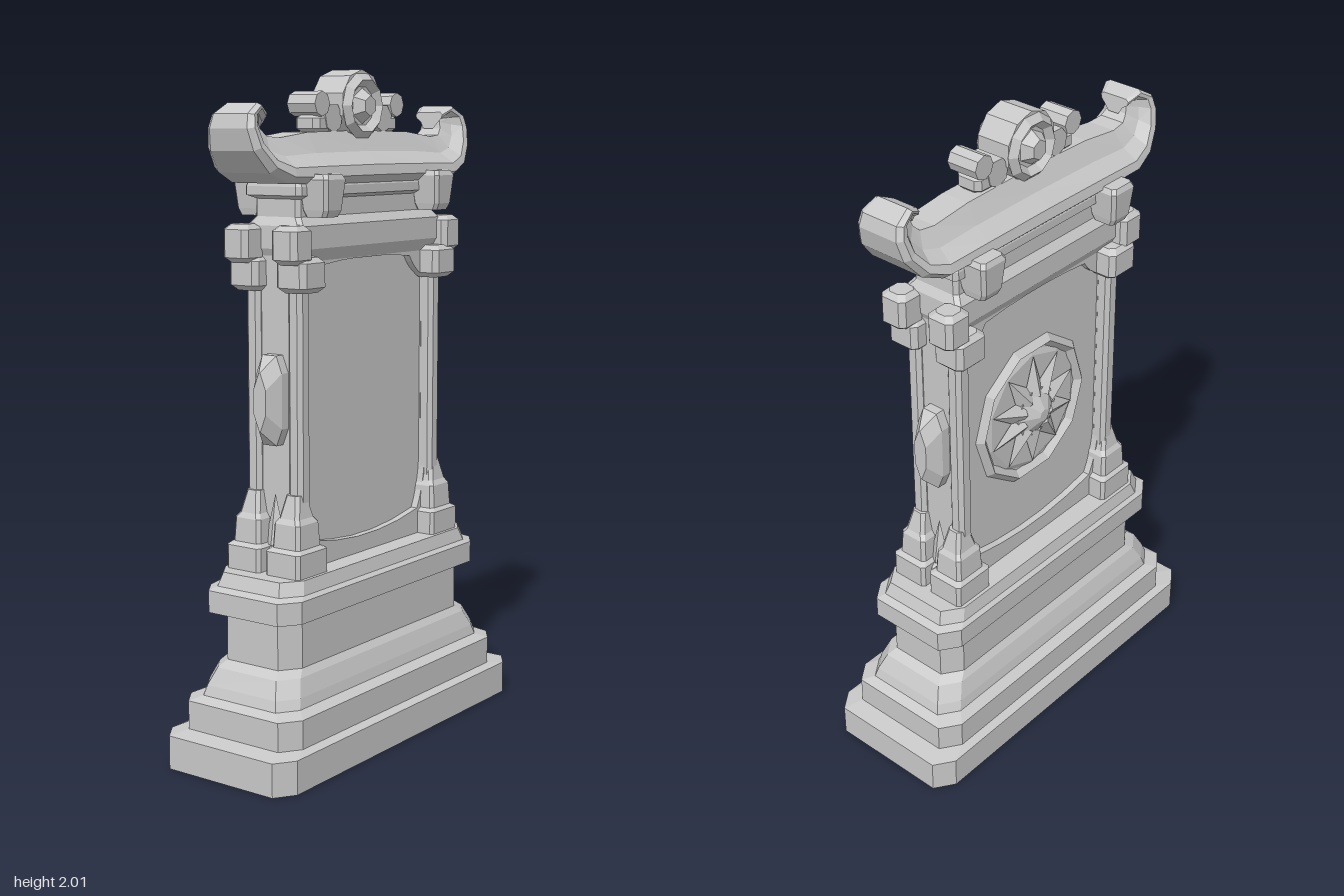
import * as THREE from 'three';

const stone = new THREE.MeshStandardMaterial({ color: 0xc8c8c8, flatShading: true, side: THREE.DoubleSide });
stone.name = 'grey stone';

function add(parent, name, geometry, x = 0, y = 0, z = 0) {
  const mesh = new THREE.Mesh(geometry, stone);
  mesh.name = name;
  mesh.position.set(x, y, z);
  parent.add(mesh);
  return mesh;
}

// Skin over cross-sections, with optional flat ends
function loft(rings, capStart, capEnd) {
  const n = rings[0].length, index = [];
  for (let i = 0; i < rings.length - 1; i++) {
    for (let j = 0; j < n; j++) {
      const a = i * n + j, b = i * n + (j + 1) % n;
      index.push(a, b, b + n, a, b + n, a + n);
    }
  }
  const last = (rings.length - 1) * n;
  for (let j = 1; j < n - 1; j++) {
    if (capStart) index.push(0, j + 1, j);
    if (capEnd) index.push(last, last + j, last + j + 1);
  }
  const g = new THREE.BufferGeometry();
  g.setAttribute('position', new THREE.Float32BufferAttribute(rings.flat(2), 3));
  g.setIndex(index);
  g.computeVertexNormals();
  return g;
}

// Chamfered rectangle at height y with half sizes X and Z
function ring(X, Z, y, cx, cz) {
  return [[X, -Z + cz], [X, Z - cz], [X - cx, Z], [-X + cx, Z], [-X, Z - cz], [-X, -Z + cz], [-X + cx, -Z], [X - cx, -Z]]
    .map(([x, w]) => [x, y, -w]);
}
const stack = (rows, cx, cz, capStart) => loft(rows.map(([y, X, Z]) => ring(X, Z, y, cx, cz)), capStart, true);

// Small bevelled block, centred on its own origin
function block(w, h, d, b = 0.015) {
  return stack([[-h / 2, w / 2 - b, d / 2 - b], [-h / 2 + b, w / 2, d / 2], [h / 2 - b, w / 2, d / 2], [h / 2, w / 2 - b, d / 2 - b]], b, b, true);
}

const disc = (r1, r2, h, n) => new THREE.CylinderGeometry(r1, r2, h, n).rotateX(Math.PI / 2);

// Face frame with a soft-cornered opening
function frameGeometry() {
  const s = new THREE.Shape();
  s.moveTo(-0.345, 0.56).lineTo(0.345, 0.56).lineTo(0.345, 1.5).lineTo(-0.345, 1.5).closePath();
  const h = new THREE.Path();
  h.moveTo(-0.27, 0.65);
  h.quadraticCurveTo(0, 0.59, 0.27, 0.65);
  h.quadraticCurveTo(0.305, 0.72, 0.31, 0.8);
  h.lineTo(0.31, 1.38);
  h.quadraticCurveTo(0.25, 1.4, 0.22, 1.45);
  h.quadraticCurveTo(0, 1.475, -0.22, 1.45);
  h.quadraticCurveTo(-0.25, 1.4, -0.31, 1.38);
  h.lineTo(-0.31, 0.8);
  h.quadraticCurveTo(-0.305, 0.72, -0.27, 0.65);
  s.holes.push(h);
  return new THREE.ExtrudeGeometry(s, { depth: 0.025, bevelEnabled: false, curveSegments: 5 });
}

// Roof beam with upturned, curled ends
function roofGeometry() {
  // lower x, lower y, upper x, upper y, width factor
  const half = [
    [0, 1.68, 0, 1.83, 1], [0.25, 1.68, 0.25, 1.825, 1], [0.41, 1.685, 0.38, 1.81, 1],
    [0.48, 1.715, 0.43, 1.815, 0.9], [0.53, 1.775, 0.45, 1.835, 0.76], [0.545, 1.835, 0.455, 1.855, 0.66],
    [0.535, 1.875, 0.455, 1.865, 0.6], [0.485, 1.905, 0.45, 1.86, 0.52], [0.44, 1.885, 0.435, 1.835, 0.4],
  ];
  const all = half.slice(1).reverse().map(([a, b, c, d, w]) => [-a, b, -c, d, w]).concat(half);
  const side = [[1, 0.045], [0.6, 0.075], [0.35, 0.118], [0.15, 0.125], [0, 0.1]];
  const section = side.concat(side.slice().reverse().map(([t, z]) => [t, -z]));
  return loft(all.map(([lx, ly, ux, uy, w]) =>
    section.map(([t, z]) => [lx + (ux - lx) * t, ly + (uy - ly) * t, z * w])), true, true);
}

// Rosette with faceted rim, pointed petals and a domed centre, facing +z
function medallion() {
  const g = new THREE.Group();
  g.name = 'medallion';
  add(g, 'medallionRim', new THREE.TorusGeometry(0.225, 0.02, 4, 10));
  add(g, 'medallionDish', disc(0.19, 0.225, 0.015, 10));
  for (let i = 0; i < 10; i++) {
    const a = i * Math.PI / 5;
    const petal = new THREE.ConeGeometry(0.042, 0.13, 4).scale(1, 1, 0.7);
    add(g, 'petal', petal, -Math.sin(a) * 0.125, Math.cos(a) * 0.125, 0.012).rotation.z = a;
  }
  add(g, 'medallionBoss', disc(0.085, 0.085, 0.03, 8).translate(0, 0, 0.01));
  add(g, 'medallionDome', new THREE.CylinderGeometry(0.02, 0.08, 0.035, 8).rotateX(Math.PI / 2), 0, 0, 0.04);
  return g;
}

export function createModel() {
  const model = new THREE.Group();
  model.name = 'stoneMonument';
  const m = new THREE.Group();
  m.name = 'monument';
  m.rotation.y = 0.1;
  model.add(m);

  // Hollow stepped base
  add(m, 'base', stack([
    [0.09, 0.575, 0.2], [0, 0.585, 0.207], [0, 0.613, 0.232], [0.1, 0.613, 0.232], [0.11, 0.555, 0.207],
    [0.195, 0.555, 0.207], [0.21, 0.525, 0.175], [0.24, 0.515, 0.168], [0.29, 0.49, 0.15], [0.31, 0.462, 0.135],
    [0.44, 0.462, 0.135], [0.455, 0.505, 0.168], [0.52, 0.505, 0.168], [0.53, 0.48, 0.155], [0.57, 0.465, 0.145],
  ], 0.06, 0.042, false));

  // Body, frames and rosette
  add(m, 'body', new THREE.BoxGeometry(0.69, 0.94, 0.11), 0, 1.03, 0);
  for (const s of [1, -1]) {
    const face = add(m, s > 0 ? 'frontFrame' : 'backFrame', frameGeometry(), 0, 0, s * 0.052);
    if (s < 0) face.rotation.y = Math.PI;
  }
  const rosette = medallion();
  rosette.position.set(0, 1.04, -0.055);
  rosette.rotation.y = Math.PI;
  m.add(rosette);

  // Corner pilasters with stepped feet, capitals and roof brackets
  for (const sx of [1, -1]) {
    for (const sz of [1, -1]) {
      add(m, 'pilaster', block(0.052, 0.76, 0.05, 0.012), sx * 0.334, 1.1, sz * 0.075);
      add(m, 'pilasterFoot', stack([
        [0.56, 0.072, 0.062], [0.64, 0.072, 0.062], [0.65, 0.056, 0.05], [0.72, 0.052, 0.046],
        [0.735, 0.042, 0.036], [0.8, 0.024, 0.024],
      ], 0.01, 0.01, true), sx * 0.345, 0, sz * 0.072);
      add(m, 'lowerCapital', block(0.115, 0.1, 0.105), sx * 0.335, 1.43, sz * 0.085);
      add(m, 'upperCapital', block(0.092, 0.11, 0.09), sx * 0.38, 1.515, sz * 0.087);
      add(m, 'roofBracket', stack([
        [1.59, 0.036, 0.035], [1.61, 0.04, 0.045], [1.695, 0.05, 0.052], [1.71, 0.042, 0.045],
      ], 0.01, 0.01, true), sx * 0.28, 0, sz * 0.118);
    }
    // Side boss and leaf
    add(m, 'sideBoss', stack([
      [0, 0.13, 0.045], [0.03, 0.13, 0.045], [0.075, 0.085, 0.022],
    ], 0.05, 0.02, true).rotateZ(-Math.PI / 2).scale(sx, 1, 1), sx * 0.345, 1.07, 0);
    add(m, 'sideLeaf', new THREE.ConeGeometry(0.04, 0.15, 4).scale(0.6, 1, 1), sx * 0.35, 0.72, 0);
    add(m, 'sideSill', block(0.05, 0.08, 0.16), sx * 0.355, 0.6, 0);
  }

  // Entablature
  add(m, 'entablature', stack([
    [1.46, 0.335, 0.075], [1.5, 0.355, 0.1], [1.565, 0.355, 0.1], [1.59, 0.34, 0.08],
    [1.64, 0.34, 0.08], [1.65, 0.362, 0.1], [1.675, 0.362, 0.1], [1.7, 0.355, 0.09],
  ], 0.012, 0.012, true));
  add(m, 'roof', roofGeometry());

  // Crest: round centre with gems, and scrolls at each side
  add(m, 'crest', disc(0.1, 0.1, 0.11, 10), 0, 1.905, 0);
  for (const s of [1, -1]) {
    add(m, 'crestRing', new THREE.TorusGeometry(0.078, 0.02, 4, 10), 0, 1.9, s * 0.055);
    const gem = add(m, 'crestGem', disc(0.03, 0.055, 0.035, 6), 0, 1.9, s * 0.068);
    if (s < 0) gem.rotation.y = Math.PI;
    add(m, 'innerScroll', disc(0.042, 0.042, 0.09, 7), s * 0.125, 1.865, 0);
    add(m, 'outerScroll', disc(0.036, 0.036, 0.1, 8), s * 0.187, 1.905, 0);
    add(m, 'scrollBase', block(0.1, 0.06, 0.085), s * 0.155, 1.85, 0);
  }
  return model;
}
